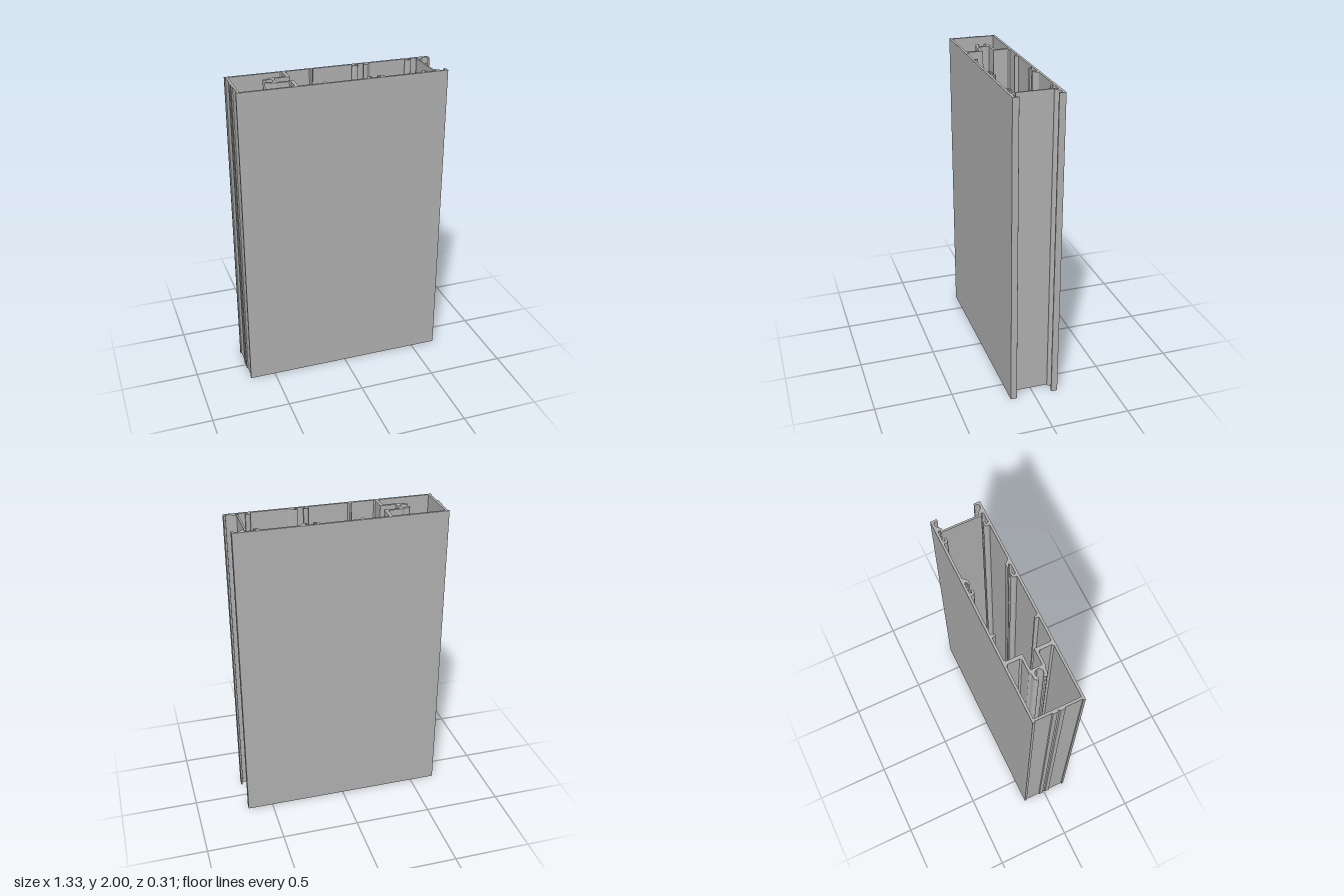
import * as THREE from 'three';

const HEIGHT = 2;

// Closed outline from [x, z, cornerRadius] points, mirrored in z when side is -1
function outline(points, side) {
  const pts = points.map(([x, z, r = 0]) => ({ p: new THREE.Vector2(x, z * side), r }));
  const shape = new THREE.Shape();
  pts.forEach(({ p, r }, i) => {
    const prev = pts[(i + pts.length - 1) % pts.length].p;
    const next = pts[(i + 1) % pts.length].p;
    const toward = (q) => p.clone().lerp(q, Math.min(0.5, r / p.distanceTo(q)));
    const a = toward(prev), b = toward(next);
    if (i === 0) shape.moveTo(a.x, a.y);
    else shape.lineTo(a.x, a.y);
    if (r > 0) shape.quadraticCurveTo(p.x, p.y, b.x, b.y);
  });
  shape.closePath();
  return shape;
}

export function createModel() {
  const group = new THREE.Group();
  const aluminium = new THREE.MeshStandardMaterial({ color: 0xb2b2b2 });
  aluminium.name = 'aluminium grey';

  // Runs an outline up the full height of the profile
  function run(name, points, side = 1, dx = 0) {
    const geo = new THREE.ExtrudeGeometry(outline(points, side), {
      depth: HEIGHT, bevelEnabled: false, curveSegments: 4,
    });
    geo.rotateX(-Math.PI / 2);
    geo.translate(dx, 0, 0);
    const mesh = new THREE.Mesh(geo, aluminium);
    mesh.name = name;
    group.add(mesh);
  }

  // Broad face with a turned-in lip at its open edge
  const face = [
    [-0.665, 0.157], [0.665, 0.157], [0.665, 0.116, 0.004], [0.652, 0.116, 0.004],
    [0.652, 0.142, 0.009], [-0.665, 0.142],
  ];
  // Inner web with its arm folded towards the screw channel
  const web = [
    [-0.319, 0.142], [-0.309, 0.132], [-0.309, 0.061], [-0.318, 0.051], [-0.39, 0.051],
    [-0.39, 0.035], [-0.288, 0.035], [-0.288, 0.133], [-0.279, 0.142],
  ];
  // Half of the C-shaped screw channel
  const claw = [
    [-0.39, 0], [-0.39, 0.051], [-0.401, 0.051], [-0.416, 0.042, 0.005], [-0.444, 0.042, 0.008],
    [-0.46, 0.03, 0.006], [-0.46, 0.018, 0.004], [-0.448, 0.014, 0.004], [-0.437, 0.022, 0.005],
    [-0.42, 0.026, 0.007], [-0.406, 0.014, 0.006], [-0.401, 0],
  ];
  const rib = [[-0.134, 0.142], [-0.131, 0.13], [-0.129, 0.119, 0.003], [-0.118, 0.119, 0.003],
    [-0.116, 0.135], [-0.11, 0.142]];
  // Facing pair that forms a clip groove
  const hook = [
    [0.143, 0.142], [0.143, 0.122, 0.006], [0.155, 0.115, 0.005], [0.176, 0.115, 0.005],
    [0.176, 0.128, 0.005], [0.158, 0.128, 0.003], [0.158, 0.137, 0.004], [0.168, 0.142],
  ];
  const bracket = [
    [0.222, 0.142], [0.231, 0.137, 0.004], [0.229, 0.128, 0.003], [0.213, 0.127, 0.005],
    [0.213, 0.115, 0.005], [0.238, 0.115, 0.006], [0.255, 0.134, 0.005], [0.267, 0.142],
  ];
  const outerTab = [[-0.658, 0.04], [-0.665, 0.037], [-0.665, 0.01], [-0.658, 0.005]];

  for (const side of [1, -1]) {
    run('facePlate', face, side);
    run('innerWeb', web, side);
    run('screwChannel', claw, side);
    run('smallRib', rib, side);
    for (const dx of [0, 0.358]) {
      run('clipHook', hook, side, dx);
      run('clipBracket', bracket, side, dx + (dx ? 0.003 : 0));
    }
    run('outerTab', outerTab, side);
  }

  // Closed end wall and the thin panel across the open end
  run('endWall', [[-0.658, 0.142], [-0.643, 0.142], [-0.643, -0.142], [-0.658, -0.142]]);
  run('thinPanel', [[0.575, 0.118], [0.586, 0.118], [0.586, -0.118], [0.575, -0.118]]);

  return group;
}
